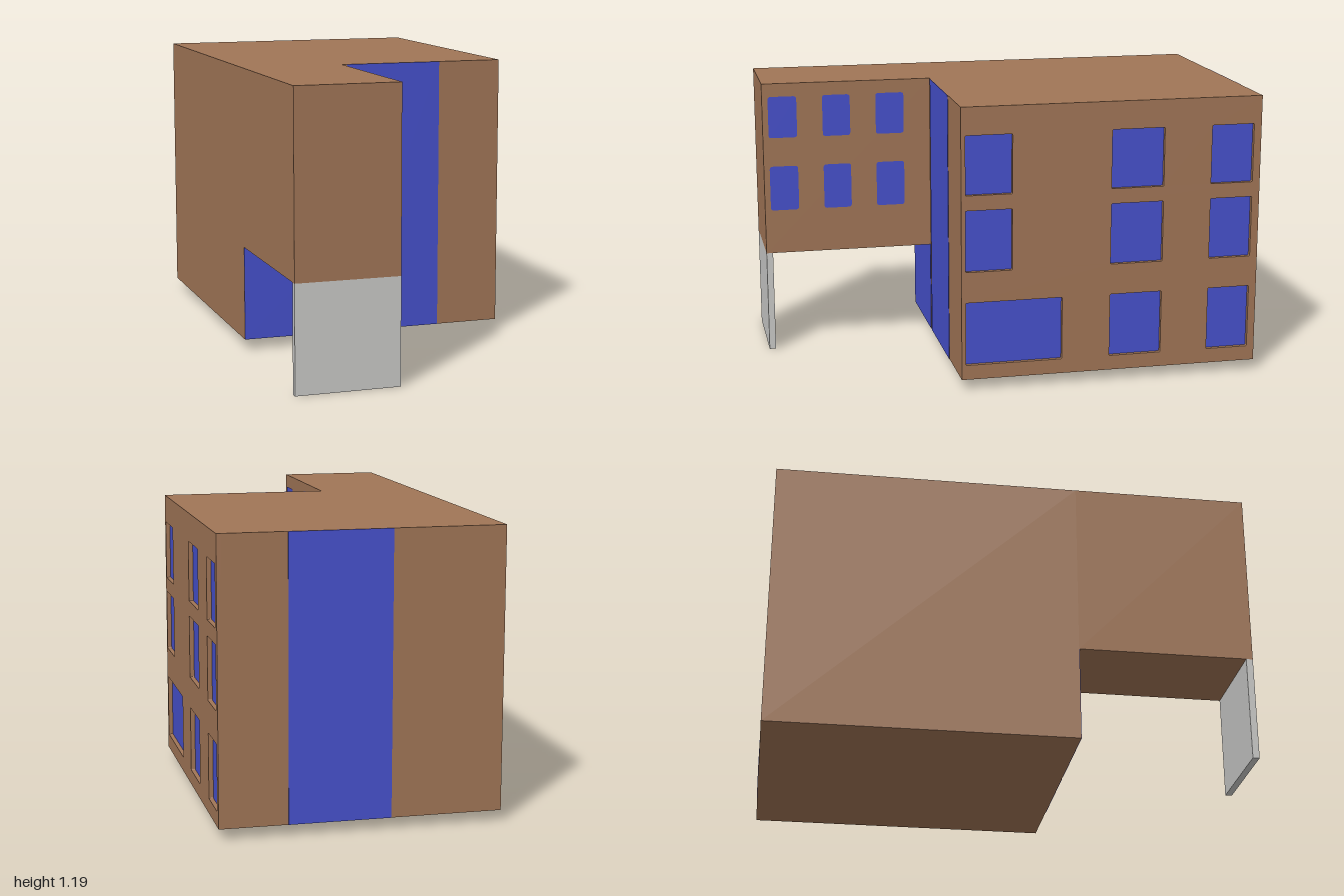
import * as THREE from 'three';

const brick = new THREE.MeshStandardMaterial({ color: 0xa07556 });
brick.name = 'brown wall';
const glass = new THREE.MeshStandardMaterial({ color: 0x4650cb });
glass.name = 'blue glass';
const concrete = new THREE.MeshStandardMaterial({ color: 0xc9c9c7 });
concrete.name = 'grey concrete';

// Box given by its two opposite corners
function block(name, mat, x0, x1, y0, y1, z0, z1) {
  const mesh = new THREE.Mesh(new THREE.BoxGeometry(x1 - x0, y1 - y0, z1 - z0), mat);
  mesh.position.set((x0 + x1) / 2, (y0 + y1) / 2, (z0 + z1) / 2);
  mesh.name = name;
  return mesh;
}

// Rounded rectangle in side-wall coordinates: u = -z, v = y
function roundedRect(path, [zFront, zBack, y0, y1], r) {
  const u0 = -zFront, u1 = -zBack;
  path.moveTo(u0 + r, y0);
  path.lineTo(u1 - r, y0);
  path.quadraticCurveTo(u1, y0, u1, y0 + r);
  path.lineTo(u1, y1 - r);
  path.quadraticCurveTo(u1, y1, u1 - r, y1);
  path.lineTo(u0 + r, y1);
  path.quadraticCurveTo(u0, y1, u0, y1 - r);
  path.lineTo(u0, y0 + r);
  path.quadraticCurveTo(u0, y0, u0 + r, y0);
  return path;
}

// Flat pane facing +x
function pane(name, rect, r, x) {
  const geo = new THREE.ShapeGeometry(roundedRect(new THREE.Shape(), rect, r), 4);
  const mesh = new THREE.Mesh(geo.rotateY(Math.PI / 2), glass);
  mesh.position.x = x;
  mesh.name = name;
  return mesh;
}

export function createModel() {
  const model = new THREE.Group();
  model.name = 'building';
  const W = 0.57, base = 0.045, top = 1.19, front = 0.27, wingX = -0.14, wingY = 0.44;
  const inner = W - 0.02;

  // Main block, wing and the slab carrying the wing
  model.add(
    block('mainBlock', brick, -W, inner, base, top, -1, front),
    block('wing', brick, -W, wingX, wingY, top, front, 1),
    block('supportSlab', concrete, -W, wingX, 0, wingY, 0.972, 1),
  );

  // Side wall with recessed windows
  const rows = [[0.826, 1.073], [0.505, 0.763], [0.107, 0.375]];
  const cols = [[0.252, 0.057], [-0.36, -0.583], [-0.787, -0.968]];
  const wall = new THREE.Shape();
  wall.moveTo(-front, base);
  wall.lineTo(1, base);
  wall.lineTo(1, top);
  wall.lineTo(-front, top);
  wall.closePath();
  rows.forEach((row, i) => cols.forEach((col, j) => {
    const rect = [col[0], i === 2 && j === 0 ? -0.155 : col[1], ...row];
    wall.holes.push(roundedRect(new THREE.Path(), rect, 0.005));
    model.add(pane('mainWindow', rect, 0.005, inner + 0.002));
  }));
  const wallGeo = new THREE.ExtrudeGeometry(wall, { depth: W - inner, bevelEnabled: false, curveSegments: 4 });
  const sideWall = new THREE.Mesh(wallGeo.rotateY(Math.PI / 2), brick);
  sideWall.position.x = inner;
  sideWall.name = 'windowWall';
  model.add(sideWall);

  // Flush windows of the wing
  for (const row of [[0.953, 1.133], [0.632, 0.827]])
    for (const col of [[0.975, 0.852], [0.741, 0.621], [0.509, 0.386]])
      model.add(pane('wingWindow', [...col, ...row], 0.013, wingX + 0.002));

  // Full-height glazing front and back, and the glazed wall under the wing
  const t = 0.002;
  model.add(
    block('frontGlazing', glass, -0.118, 0.295, base, top, front, front + t),
    block('backGlazing', glass, -0.118, 0.295, base, top, -1 - t, -1),
    block('undercroftGlazing', glass, -W, wingX, base, wingY, front, front + t),
  );
  return model;
}
